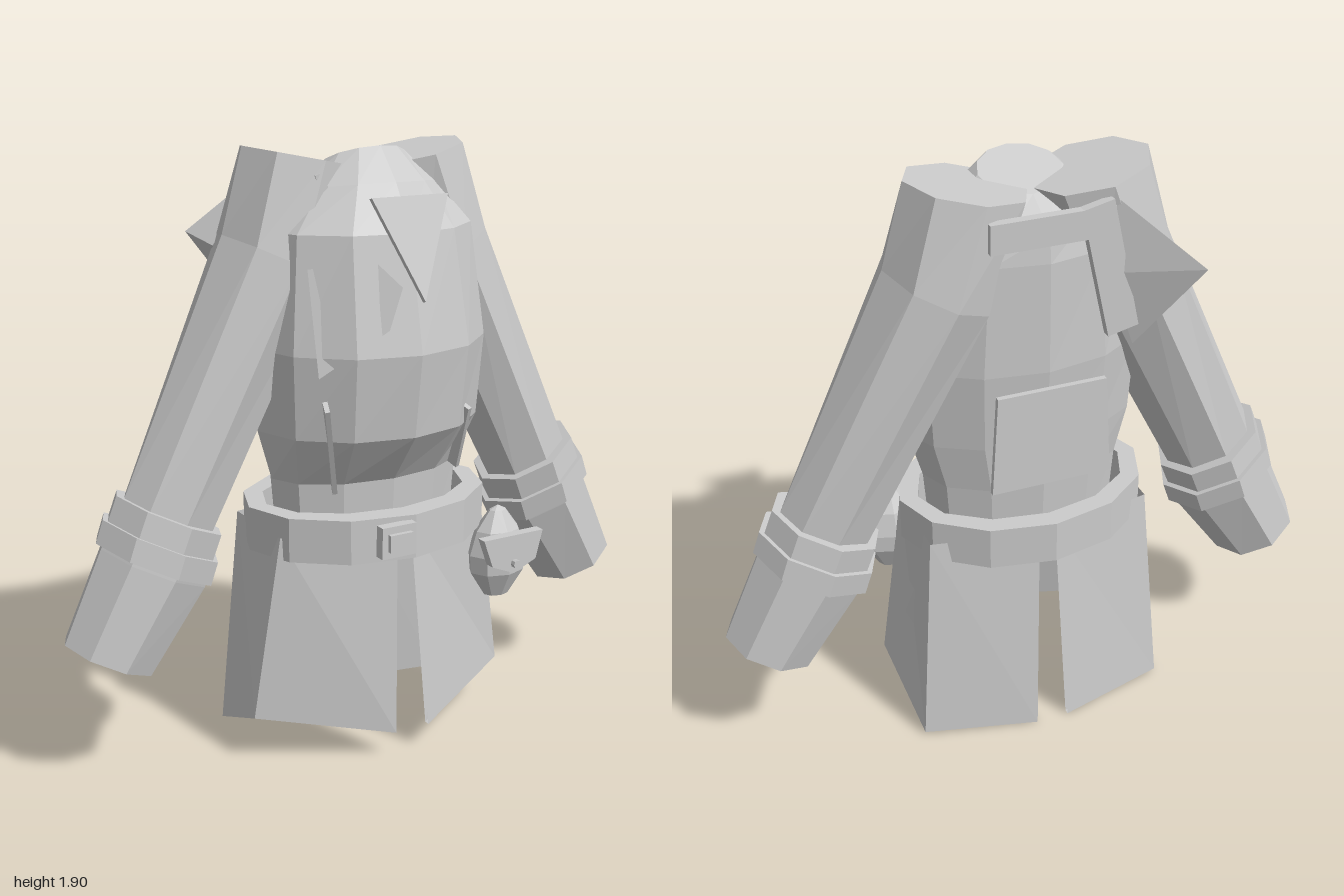
import * as THREE from 'three';

const mat = new THREE.MeshStandardMaterial({ color: 0xcccccc, flatShading: true, side: THREE.DoubleSide });

function add(parent, name, geo, pos = [0, 0, 0], rot = [0, 0, 0]) {
  const m = new THREE.Mesh(geo, mat);
  m.name = name;
  m.position.set(...pos);
  m.rotation.set(...rot);
  parent.add(m);
  return m;
}

// Skin a stack of cross-sections, listed from bottom to top
function loft(rings, { closed = true, bottom = false, top = false } = {}) {
  const n = rings[0].length, pos = [];
  const tri = (...ps) => ps.forEach(p => pos.push(...p));
  for (let i = 0; i < rings.length - 1; i++) {
    for (let j = 0; j < (closed ? n : n - 1); j++) {
      const k = (j + 1) % n, a = rings[i], b = rings[i + 1];
      tri(a[j], b[j], a[k]);
      tri(a[k], b[j], b[k]);
    }
  }
  for (let j = 1; j < n - 1; j++) {
    const a = rings[0], b = rings[rings.length - 1];
    if (bottom) tri(a[0], a[j], a[j + 1]);
    if (top) tri(b[0], b[j + 1], b[j]);
  }
  const g = new THREE.BufferGeometry();
  g.setAttribute('position', new THREE.Float32BufferAttribute(pos, 3));
  g.computeVertexNormals();
  return g;
}

// Horizontal ring with its own front and back depth; drop lowers its rear edge
function bodyRing(y, hw, zf, zb, drop = 0, n = 12) {
  return Array.from({ length: n }, (_, j) => {
    const a = (j / n) * Math.PI * 2, s = Math.sin(a);
    return [hw * Math.cos(a), y - drop * (1 - s) / 2, s > 0 ? zf * s : -zb * s];
  });
}

// Eight-sided sleeve ring whose plane leans with the arm
function sleeveRing(side, [cx, cy, hw, zc, hz, ux = 0.9, uy = 0.44]) {
  return Array.from({ length: 8 }, (_, j) => {
    const a = (j / 8) * Math.PI * 2, c = Math.cos(a) * hw;
    return [side * cx + ux * c, cy + side * uy * c, zc + Math.sin(a) * hz];
  });
}

// Thin flat panel from an outline
function plate(points, depth) {
  const shape = new THREE.Shape(points.map(p => new THREE.Vector2(...p)));
  return new THREE.ExtrudeGeometry(shape, { depth, bevelEnabled: false });
}

export function createModel() {
  const coat = new THREE.Group();
  coat.name = 'coat';

  // Body
  add(coat, 'torso', loft([
    bodyRing(0.62, 0.31, 0.17, -0.18),
    bodyRing(0.89, 0.33, 0.19, -0.2),
    bodyRing(1.05, 0.375, 0.31, -0.21),
    bodyRing(1.31, 0.39, 0.345, -0.235),
    bodyRing(1.66, 0.35, 0.275, -0.235),
    bodyRing(1.8, 0.23, 0.19, -0.225, 0.05),
    bodyRing(1.9, 0.13, 0.1, -0.1, 0.08),
  ], { bottom: true, top: true }));

  // Sleeves, from the shallow cuff opening up to the shoulder
  const arm = [
    [0.871, 0.416, 0.13, -0.035, 0.132],
    [0.877, 0.403, 0.132, -0.035, 0.134],
    [0.877, 0.403, 0.148, -0.035, 0.148],
    [0.72, 0.67, 0.18, -0.035, 0.172],
    [0.715, 0.68, 0.18, -0.035, 0.172],
    [0.715, 0.68, 0.2, -0.04, 0.19],
    [0.69, 0.75, 0.2, -0.04, 0.19],
    [0.69, 0.75, 0.182, -0.04, 0.175],
    [0.66, 0.825, 0.182, -0.04, 0.175],
    [0.66, 0.825, 0.155, -0.04, 0.14],
    [0.29, 1.57, 0.175, -0.065, 0.2],
    [0.19, 1.865, 0.19, -0.065, 0.175, 0.98, 0.2],
  ];
  for (const side of [1, -1]) {
    const name = side > 0 ? 'leftSleeve' : 'rightSleeve';
    add(coat, name, loft(arm.map(r => sleeveRing(side, r)), { bottom: true, top: true }));
  }

  // Skirt halves, each wrapping from the front slit to the back slit
  const upper = [[0.03, 0.74, 0.26], [0.37, 0.74, 0.13], [0.37, 0.74, -0.17], [0.03, 0.74, -0.24]];
  const lower = [[0.06, 0.085, 0.31], [0.46, 0.15, 0.11], [0.425, 0.01, -0.21], [0.055, 0, -0.295]];
  for (const side of [1, -1]) {
    const outer = r => r.map(([x, y, z]) => [side * x, y, z]);
    const inner = r => r.map(([x, y, z]) => [side * (x > 0.1 ? x - 0.02 : x), y, z - 0.018 * Math.sign(z)]);
    const rings = [inner(upper), inner(lower), outer(lower), outer(upper)];
    if (side < 0) rings.reverse();
    add(coat, side > 0 ? 'leftSkirt' : 'rightSkirt', loft(rings, { closed: false }));
  }

  // Belt and buckle
  add(coat, 'belt', loft([
    bodyRing(0.67, 0.36, 0.25, -0.25),
    bodyRing(0.67, 0.41, 0.32, -0.305),
    bodyRing(0.81, 0.41, 0.32, -0.305),
    bodyRing(0.81, 0.35, 0.24, -0.24),
    bodyRing(0.67, 0.36, 0.25, -0.25),
  ]));
  const buckle = new THREE.Group();
  buckle.name = 'buckle';
  buckle.position.set(-0.075, 0.745, 0.31);
  coat.add(buckle);
  const frame = plate([[-0.06, -0.05], [0.06, -0.05], [0.06, 0.05], [-0.06, 0.05]], 0.035);
  add(buckle, 'bucklePlate', frame);
  add(buckle, 'buckleCentre', new THREE.BoxGeometry(0.08, 0.055, 0.02), [0, 0, 0.04]);

  // Pouch on the left hip
  const pouch = new THREE.Group();
  pouch.name = 'pouch';
  pouch.position.set(0.39, 0, 0.2);
  coat.add(pouch);
  const profile = [[0, 0.43], [0.045, 0.435], [0.1, 0.52], [0.105, 0.58], [0.08, 0.66], [0.03, 0.725], [0, 0.74]]
    .map(p => new THREE.Vector2(...p));
  add(pouch, 'pouchBag', new THREE.LatheGeometry(profile, 8)).scale.z = 0.75;
  add(pouch, 'pouchFlap', plate([[-0.12, 0.665], [-0.085, 0.57], [0, 0.535], [0.085, 0.57], [0.11, 0.665]], 0.035),
    [0, 0, 0.065]);
  add(pouch, 'pouchButton', new THREE.CylinderGeometry(0.014, 0.014, 0.02, 8), [0, 0.57, 0.108], [Math.PI / 2, 0, 0]);

  // Front lapel triangle, breast pocket and waist darts
  add(coat, 'lapel', plate([[0, -0.31], [0.13, 0], [-0.13, 0]], 0.015), [0, 1.765, 0.255], [-0.29, 0, 0]);
  add(coat, 'breastPocket', plate([[-0.1, -0.32], [0.12, -0.2], [0.17, -0.08], [0.1, 0], [-0.1, 0]], 0.02),
    [-0.19, 1.57, 0.2], [-0.2, -0.5, 0]);
  add(coat, 'leftDart', new THREE.BoxGeometry(0.015, 0.26, 0.05), [0.235, 1.0, 0.19], [0.45, 0.3, 0.16]);
  add(coat, 'rightDart', new THREE.BoxGeometry(0.015, 0.33, 0.05), [-0.23, 1.02, 0.195], [0.45, -0.3, 0.28]);

  // Back panel, collar band and shoulder strap
  add(coat, 'backPatch', plate([[-0.2, 0.93], [0.19, 0.93], [0.17, 1.26], [-0.18, 1.26]], 0.018), [0, 0, -0.25]);
  add(coat, 'collarBand', new THREE.BoxGeometry(0.38, 0.09, 0.03), [0, 1.77, -0.24]);
  add(coat, 'backStrap', new THREE.BoxGeometry(0.1, 0.42, 0.03), [-0.18, 1.62, -0.24], [0, 0, -0.22]);
  add(coat, 'collarTab', new THREE.BoxGeometry(0.03, 0.08, 0.05), [-0.2, 1.79, 0.085], [0, 0, 0.3]);

  // Pointed flap behind the right shoulder
  const tip = [-0.435, 1.62, -0.362];
  const base = [[-0.2, 1.83, -0.24], [-0.18, 1.6, -0.235], [-0.27, 1.35, -0.23], [-0.43, 1.6, -0.17]];
  add(coat, 'shoulderFlap', loft([base.map(() => tip), base]));

  return coat;
}
